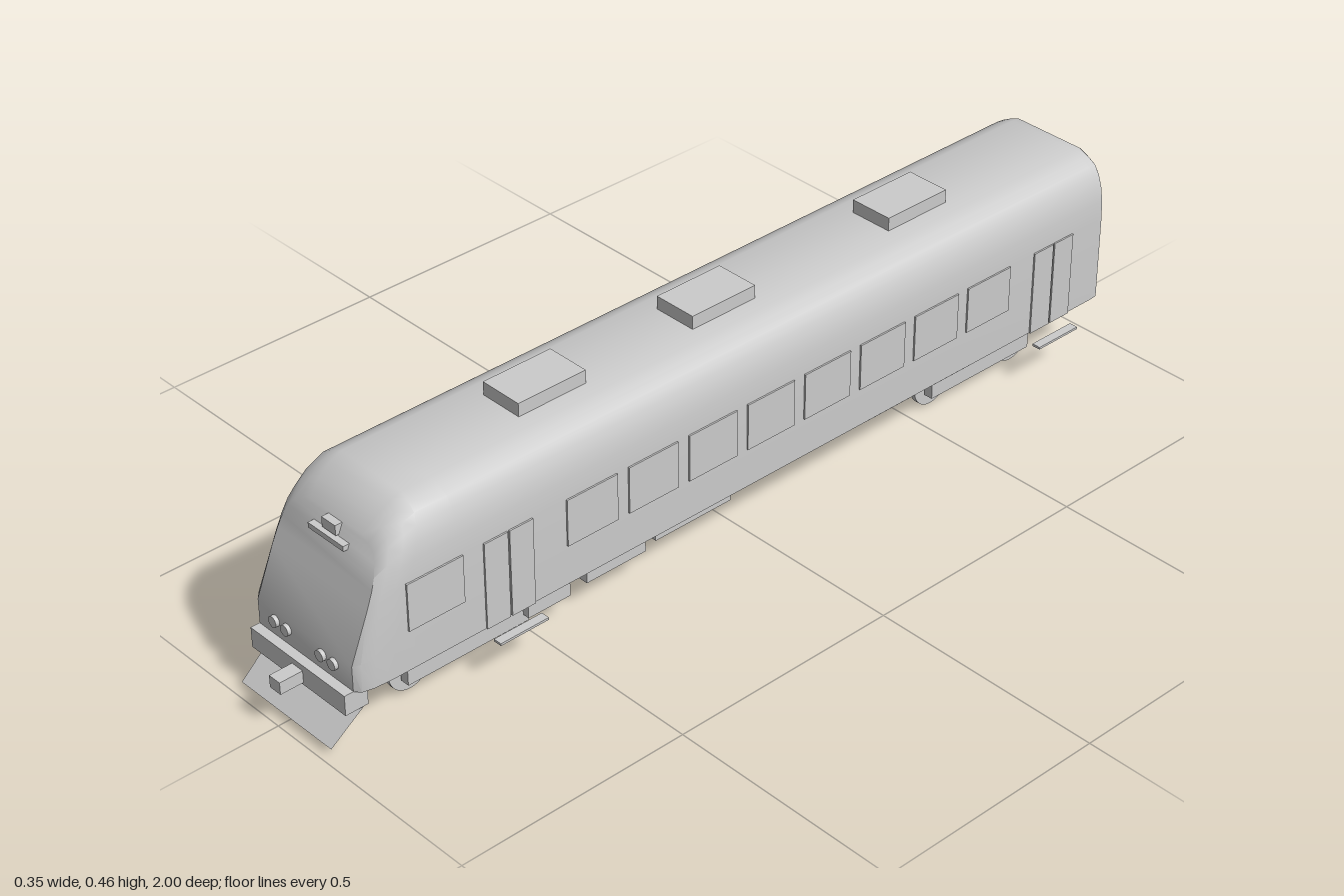
import * as THREE from 'three';
import { toCreasedNormals } from 'three/addons/utils/BufferGeometryUtils.js';

const mat = new THREE.MeshStandardMaterial({ color: 0xcccccc });
const sheetMat = new THREE.MeshStandardMaterial({ color: 0xcccccc, side: THREE.DoubleSide });
const FLOOR = 0.115, ROOF = 0.432;

// Half cross-section of the coach shell, from the floor edge up to the roof
const HALF = [[0.1525, 0.115], [0.1525, 0.18], [0.1525, 0.3], [0.1505, 0.34], [0.146, 0.368],
  [0.137, 0.394], [0.125, 0.412], [0.105, 0.423], [0.083, 0.432]];
const SECTION = [...HALF, ...HALF.slice().reverse().map(([x, y]) => [-x, y])];

// Rings from rear to nose: width factor, roof height, z at the floor, z at the roof
const RINGS = [
  [0.96, 0.427, -0.973, -0.973],
  [0.99, 0.431, -0.968, -0.968],
  [1, ROOF, -0.95, -0.95],
  [1, ROOF, 0.7, 0.7],
  [1, ROOF, 0.855, 0.765],
  [0.985, 0.422, 0.895, 0.79],
  [0.945, 0.402, 0.92, 0.82],
  [0.87, 0.376, 0.93, 0.845],
];

function shellGeometry() {
  const n = SECTION.length, pos = [], idx = [];
  for (const [sx, top, z0, z1] of RINGS) {
    for (const [x, y] of SECTION) {
      const yy = FLOOR + (y - FLOOR) * (top - FLOOR) / (ROOF - FLOOR);
      // the front stays upright low down, then rakes back
      const t = Math.max(0, (yy - 0.17) / (top - 0.17));
      pos.push(x * sx, yy, z0 + (z1 - z0) * t);
    }
  }
  const quad = (a, b, c, d) => idx.push(a, b, c, a, c, d);
  for (let k = 0; k < RINGS.length - 1; k++) {
    for (let i = 0; i < n; i++) {
      const j = (i + 1) % n;
      quad(k * n + i, k * n + j, (k + 1) * n + j, (k + 1) * n + i);
    }
  }
  // end faces, in strips from side to side
  const f = (RINGS.length - 1) * n;
  for (let i = 0; i < n / 2 - 1; i++) {
    quad(f + i, f + i + 1, f + n - 2 - i, f + n - 1 - i);
    quad(n - 1 - i, n - 2 - i, i + 1, i);
  }
  const g = new THREE.BufferGeometry();
  g.setAttribute('position', new THREE.Float32BufferAttribute(pos, 3));
  g.setIndex(idx);
  return toCreasedNormals(g, 0.6);
}

export function createModel() {
  const model = new THREE.Group();
  model.name = 'railcar';

  const add = (name, geometry, parent = model, material = mat) => {
    const m = new THREE.Mesh(geometry, material);
    m.name = name;
    parent.add(m);
    return m;
  };
  // Box given by its limits on each axis
  const box = (name, [x0, x1], [y0, y1], [z0, z1], parent = model) => {
    const m = add(name, new THREE.BoxGeometry(x1 - x0, y1 - y0, z1 - z0), parent);
    m.position.set((x0 + x1) / 2, (y0 + y1) / 2, (z0 + z1) / 2);
    return m;
  };
  const sideBox = (name, s, [x0, x1], y, z, parent) =>
    box(name, s > 0 ? [x0, x1] : [-x1, -x0], y, z, parent);

  add('bodyShell', shellGeometry());

  // Roof units
  for (const z of [-0.537, -0.025, 0.393]) box('roofUnit', [-0.048, 0.048], [0.42, 0.46], [z - 0.079, z + 0.079]);

  // Side windows, doors and door steps
  for (const s of [1, -1]) {
    const panel = [0.145, 0.156];
    sideBox('cabWindow', s, panel, [0.2, 0.3], [0.695, 0.82]);
    for (let i = 0; i < 8; i++) {
      const z = 0.397 - i * 0.1475;
      sideBox('window', s, panel, [0.2, 0.3], [z - 0.06, z + 0.06]);
    }
    for (const z of [0.592, -0.822]) {
      for (const d of [-0.029, 0.029]) {
        sideBox('doorLeaf', s, panel, [FLOOR, 0.3], [z + d - 0.027, z + d + 0.027]);
      }
    }
    for (const z of [0.58, -0.83]) sideBox('doorStep', s, [0.157, 0.176], [0.083, 0.088], [z - 0.056, z + 0.056]);
  }

  // Nose: headlights, top lamp and its shelf
  for (const x of [-0.083, -0.049, 0.049, 0.083]) {
    const lamp = add('headlight', new THREE.CylinderGeometry(0.0115, 0.0115, 0.014, 20));
    lamp.rotation.x = Math.PI / 2;
    lamp.position.set(x, 0.149, 0.931);
  }
  box('topLamp', [-0.019, 0.019], [0.352, 0.373], [0.83, 0.862]);
  box('lampShelf', [-0.049, 0.049], [0.338, 0.349], [0.84, 0.87]);

  // Buffer beam, coupler and plough
  box('bufferBeam', [-0.133, 0.133], [0.073, 0.116], [0.9, 0.95]);
  box('coupler', [-0.015, 0.015], [0.078, 0.104], [0.95, 1]);
  const plough = new THREE.PlaneGeometry(1, 1);
  const p = plough.attributes.position;
  for (let i = 0; i < p.count; i++) {
    const top = p.getY(i) > 0, side = Math.sign(p.getX(i));
    p.setXYZ(i, side * (top ? 0.133 : 0.128), top ? 0.08 : 0.014, top ? 0.9 : 0.982);
  }
  plough.computeVertexNormals();
  add('plough', plough, model, sheetMat);

  // Rear gangway door and sill
  box('rearDoor', [-0.056, 0.056], [0.145, 0.33], [-0.996, -0.965]);
  box('rearSill', [-0.066, 0.066], [0.122, 0.147], [-1, -0.965]);

  // Bogies
  for (const zc of [0.647, -0.685]) {
    const bogie = new THREE.Group();
    bogie.name = 'bogie';
    bogie.position.z = zc;
    model.add(bogie);
    box('bolster', [-0.09, 0.09], [0.05, 0.116], [-0.038, 0.038], bogie);
    for (const s of [1, -1]) sideBox('sideFrame', s, [0.08, 0.1], [0.032, 0.075], [-0.14, 0.14], bogie);
    for (const dz of [-0.117, 0.117]) {
      const axle = add('axle', new THREE.CylinderGeometry(0.009, 0.009, 0.18, 12), bogie);
      axle.rotation.z = Math.PI / 2;
      axle.position.set(0, 0.046, dz);
      for (const s of [1, -1]) {
        const wheel = add('wheel', new THREE.CylinderGeometry(0.046, 0.046, 0.012, 28), bogie);
        wheel.rotation.z = Math.PI / 2;
        wheel.position.set(s * 0.069, 0.046, dz);
      }
    }
  }

  // Equipment boxes under the floor: rear z, front z, bottom y, sides
  const equipment = [
    [0.42, 0.52, 0.05, [1, -1]], [0.235, 0.38, 0.057, [1, -1]], [0.02, 0.21, 0.068, [1, -1]],
    [-0.31, -0.225, 0.062, [-1]], [-0.485, -0.35, 0.078, [1, -1]], [-0.64, -0.53, 0.078, [1, -1]],
  ];
  for (const [z0, z1, y, sides] of equipment) {
    for (const s of sides) sideBox('equipmentBox', s, [0.03, 0.115], [y, 0.116], [z0, z1]);
  }

  return model;
}
